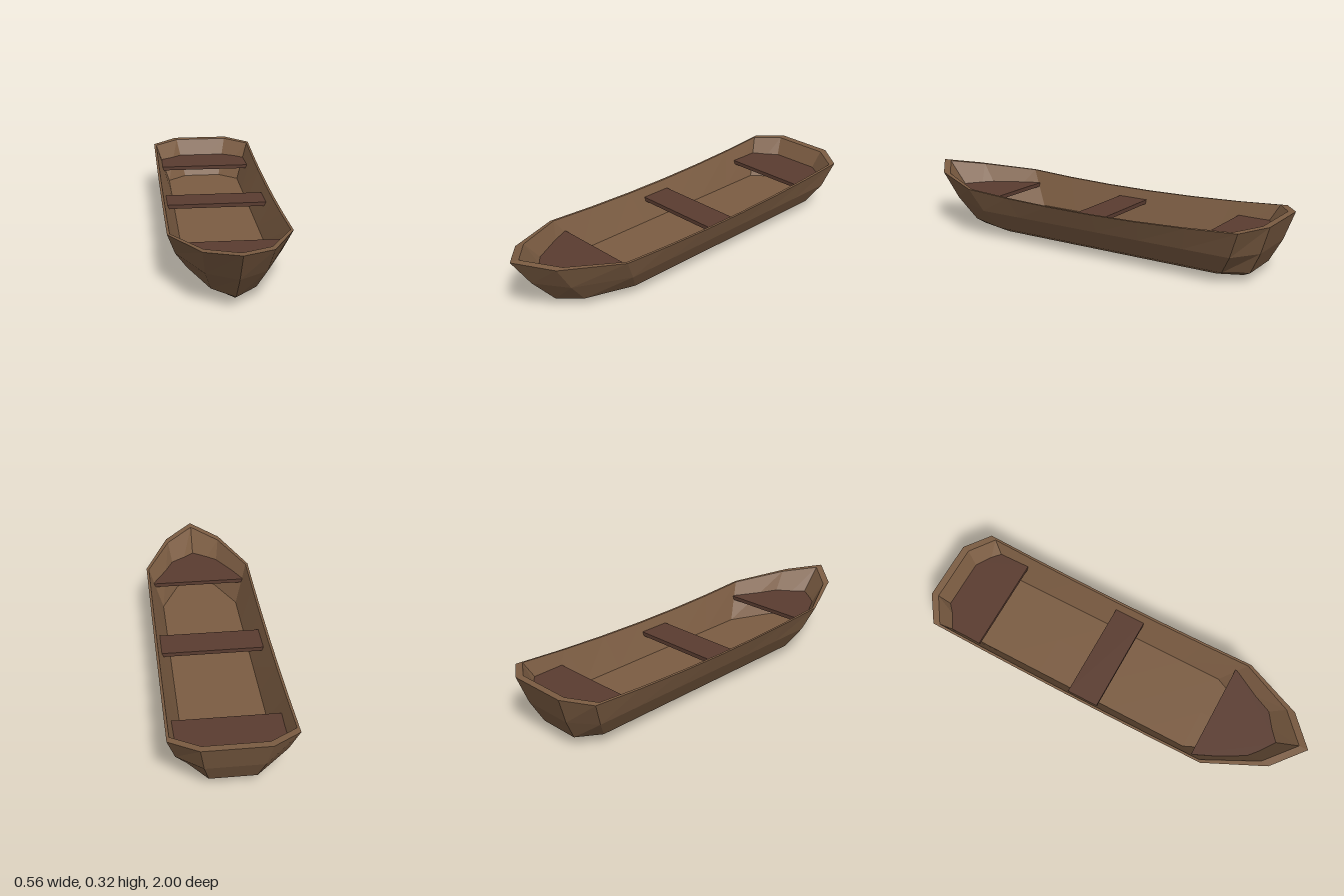
import * as THREE from 'three';

// One horizontal ring of the boat: points [x, y, z] on the left half from bow to stern.
// The straight side between shoulder and quarter is subdivided and may sag; the half is then mirrored.
function ring(bow, cheek, shoulder, quarter, transom, sag = 0) {
  const half = [bow, cheek];
  for (let i = 0; i <= 6; i++) {
    const t = i / 6;
    const p = shoulder.map((v, k) => v + (quarter[k] - v) * t);
    p[1] -= sag * 4 * t * (1 - t);
    half.push(p);
  }
  half.push(transom);
  const mirrored = half.slice(1).reverse().map(([x, y, z]) => [-x, y, z]);
  return [...half, ...mirrored];
}

// Flat-shaded skin through successive closed rings
function loft(rings) {
  const pos = [];
  const n = rings[0].length;
  for (let k = 0; k < rings.length - 1; k++) {
    for (let i = 0; i < n; i++) {
      const j = (i + 1) % n;
      const a = rings[k][i], b = rings[k][j], c = rings[k + 1][j], d = rings[k + 1][i];
      pos.push(...a, ...b, ...c, ...a, ...c, ...d);
    }
  }
  const g = new THREE.BufferGeometry();
  g.setAttribute('position', new THREE.Float32BufferAttribute(pos, 3));
  g.computeVertexNormals();
  return g;
}

// Seat board from the left half of its plan [x, z], mirrored to the right
function board(half, top = 0.197, thickness = 0.02) {
  const pts = [...half, ...half.slice().reverse().map(([x, z]) => [-x, z])];
  const shape = new THREE.Shape(pts.map(([x, z]) => new THREE.Vector2(x, -z)));
  const g = new THREE.ExtrudeGeometry(shape, { depth: thickness, bevelEnabled: false });
  g.rotateX(-Math.PI / 2);
  g.translate(0, top - thickness, 0);
  return g;
}

export function createModel() {
  const boat = new THREE.Group();
  boat.name = 'rowingBoat';
  const wood = new THREE.MeshStandardMaterial({ color: 0x7b5c42, flatShading: true, side: THREE.DoubleSide });
  const darkWood = new THREE.MeshStandardMaterial({ color: 0x5a3c30, flatShading: true });
  const add = (name, geometry, material) => {
    const mesh = new THREE.Mesh(geometry, material);
    mesh.name = name;
    boat.add(mesh);
  };

  // Outer rings from keel to gunwale
  const keel = ring([0, 0.005, 0.5], [0, 0.002, 0.45], [0, 0, 0.4], [0, 0, -0.5], [0, 0.004, -0.6]);
  const bilge = ring([0, 0.012, 0.64], [0.045, 0.013, 0.55], [0.08, 0.01, 0.4], [0.08, 0.01, -0.55], [0.05, 0.014, -0.78]);
  const bottom = ring([0, 0.016, 0.73], [0.08, 0.024, 0.65], [0.15, 0.03, 0.43], [0.15, 0.03, -0.76], [0.08, 0.022, -0.86]);
  const chine = ring([0, 0.04, 0.78], [0.1, 0.045, 0.69], [0.187, 0.052, 0.46], [0.187, 0.052, -0.8], [0.105, 0.045, -0.9]);
  const strake = ring([0, 0.172, 0.9], [0.133, 0.158, 0.785], [0.243, 0.147, 0.52], [0.243, 0.147, -0.86], [0.13, 0.152, -0.955]);
  const gunwale = ring([0, 0.318, 1], [0.15, 0.288, 0.87], [0.28, 0.26, 0.58], [0.28, 0.273, -0.91], [0.15, 0.285, -1], 0.026);
  add('hull', loft([keel, bilge, bottom, chine, strake, gunwale]), wood);

  // Gunwale top, then the inner wall and floor
  const innerRim = ring([0, 0.314, 0.955], [0.143, 0.286, 0.83], [0.268, 0.26, 0.57], [0.268, 0.273, -0.88], [0.143, 0.283, -0.965], 0.026);
  const floorEdge = ring([0, 0.085, 0.76], [0.105, 0.085, 0.67], [0.2, 0.085, 0.46], [0.2, 0.085, -0.78], [0.1, 0.085, -0.87]);
  const floorCentre = floorEdge.map(([, y, z]) => [0, y, z]);
  add('rim', loft([gunwale, innerRim]), wood);
  add('innerWall', loft([innerRim, floorEdge]), wood);
  add('floor', loft([floorEdge, floorCentre]), wood);

  // Three seats
  add('bowSeat', board([[0, 0.865], [0.135, 0.77], [0.247, 0.52]]), darkWood);
  add('middleSeat', board([[0.25, 0], [0.25, -0.16]]), darkWood);
  add('sternSeat', board([[0.247, -0.68], [0.247, -0.85], [0.14, -0.94]]), darkWood);
  return boat;
}
